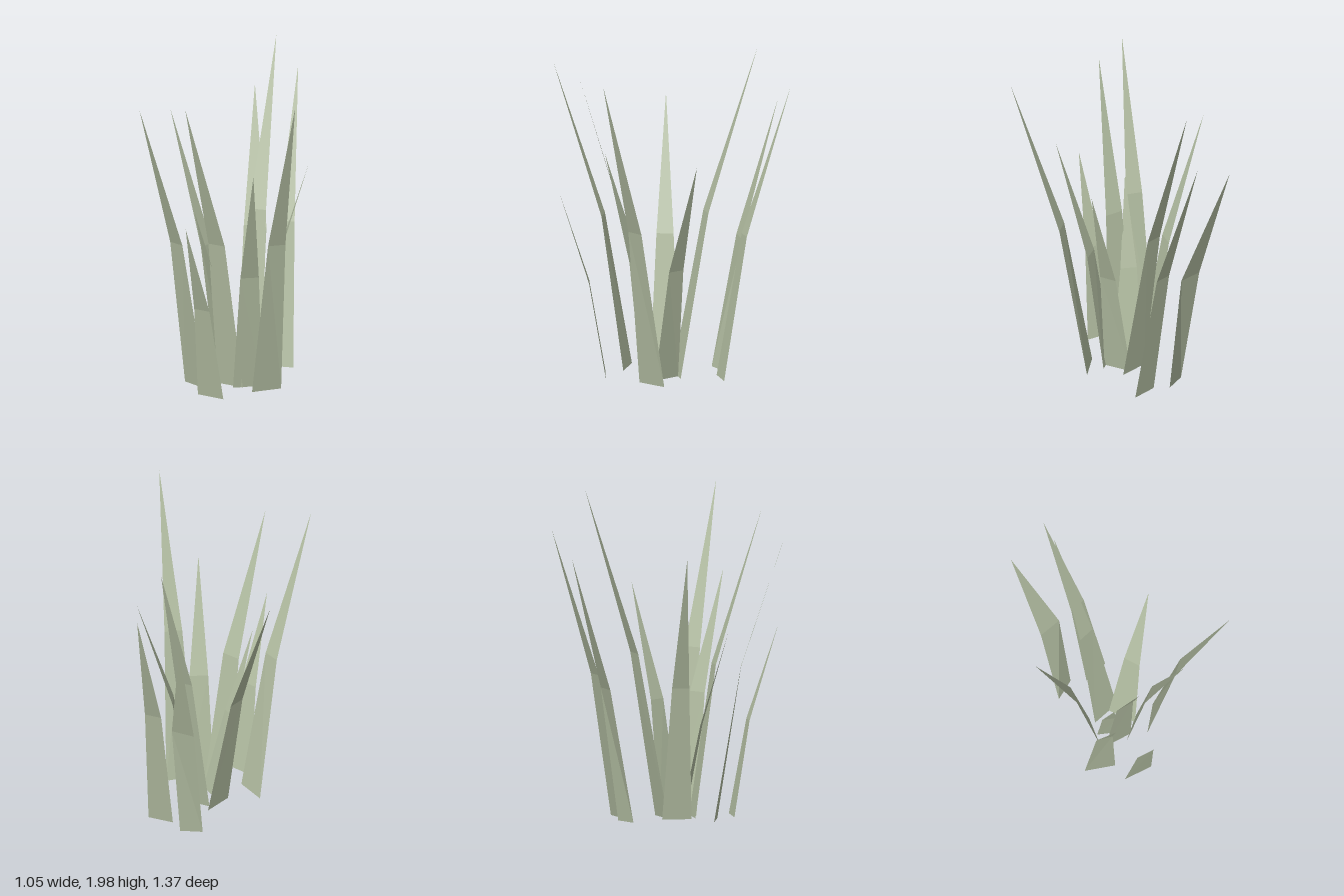
import * as THREE from 'three';

// Each blade: base corners [x, z], bend height and corners, tip [x, y, z]
const BLADES = [
  { base: [-0.21, -0.24, -0.09, -0.30], y: 0.80, mid: [-0.24, -0.39, -0.10, -0.41], tip: [-0.29, 1.60, -0.64] },
  { base: [-0.01, -0.25, 0.14, -0.28], y: 0.86, mid: [-0.02, -0.40, 0.08, -0.42], tip: [-0.03, 1.74, -0.69] },
  { base: [-0.11, 0.00, 0.06, -0.03], y: 0.99, mid: [-0.10, -0.18, 0.00, -0.20], tip: [-0.08, 1.98, -0.50] },
  { base: [0.00, -0.02, 0.09, 0.125], y: 0.68, mid: [0.12, -0.04, 0.17, 0.05], tip: [0.33, 1.36, -0.10] },
  { base: [0.24, 0.085, 0.115, 0.22], y: 0.96, mid: [0.34, 0.23, 0.26, 0.30], tip: [0.525, 1.92, 0.475] },
  { base: [0.12, 0.09, -0.02, 0.20], y: 0.72, mid: [0.155, 0.21, 0.065, 0.275], tip: [0.23, 1.43, 0.435] },
  { base: [-0.125, -0.04, -0.16, 0.13], y: 0.80, mid: [-0.27, -0.02, -0.29, 0.08], tip: [-0.53, 1.60, 0.00] },
  { base: [-0.325, 0.222, -0.155, 0.29], y: 0.92, mid: [-0.345, 0.38, -0.25, 0.41], tip: [-0.40, 1.83, 0.68] },
  { base: [-0.14, 0.16, 0.03, 0.17], y: 0.91, mid: [-0.14, 0.285, -0.03, 0.29], tip: [-0.157, 1.83, 0.56] },
  { base: [-0.155, 0.395, 0.02, 0.41], y: 0.57, mid: [-0.13, 0.495, -0.025, 0.505], tip: [-0.095, 1.13, 0.68] },
  { base: [-0.14, 0.07, 0.02, 0.145], y: 0.56, mid: [-0.175, 0.18, -0.085, 0.22], tip: [-0.20, 1.11, 0.345] },
];

// Flat bent blade: a tapering lower strip and a pointed upper triangle
function bladeGeometry({ base, y, mid, tip }) {
  const a = [base[0], 0, base[1]], b = [base[2], 0, base[3]];
  const c = [mid[0], y, mid[1]], d = [mid[2], y, mid[3]];
  const geometry = new THREE.BufferGeometry();
  const corners = [a, b, d, a, d, c, c, d, tip].flat();
  geometry.setAttribute('position', new THREE.Float32BufferAttribute(corners, 3));
  geometry.computeVertexNormals();
  return geometry;
}

export function createModel() {
  const group = new THREE.Group();
  group.name = 'grassClump';
  const grass = new THREE.MeshStandardMaterial({ color: 0xb3bea2, flatShading: true, side: THREE.DoubleSide });
  grass.name = 'paleGrassGreen';

  BLADES.forEach((spec, i) => {
    const blade = new THREE.Mesh(bladeGeometry(spec), grass);
    blade.name = `grassBlade${i + 1}`;
    group.add(blade);
  });
  return group;
}
